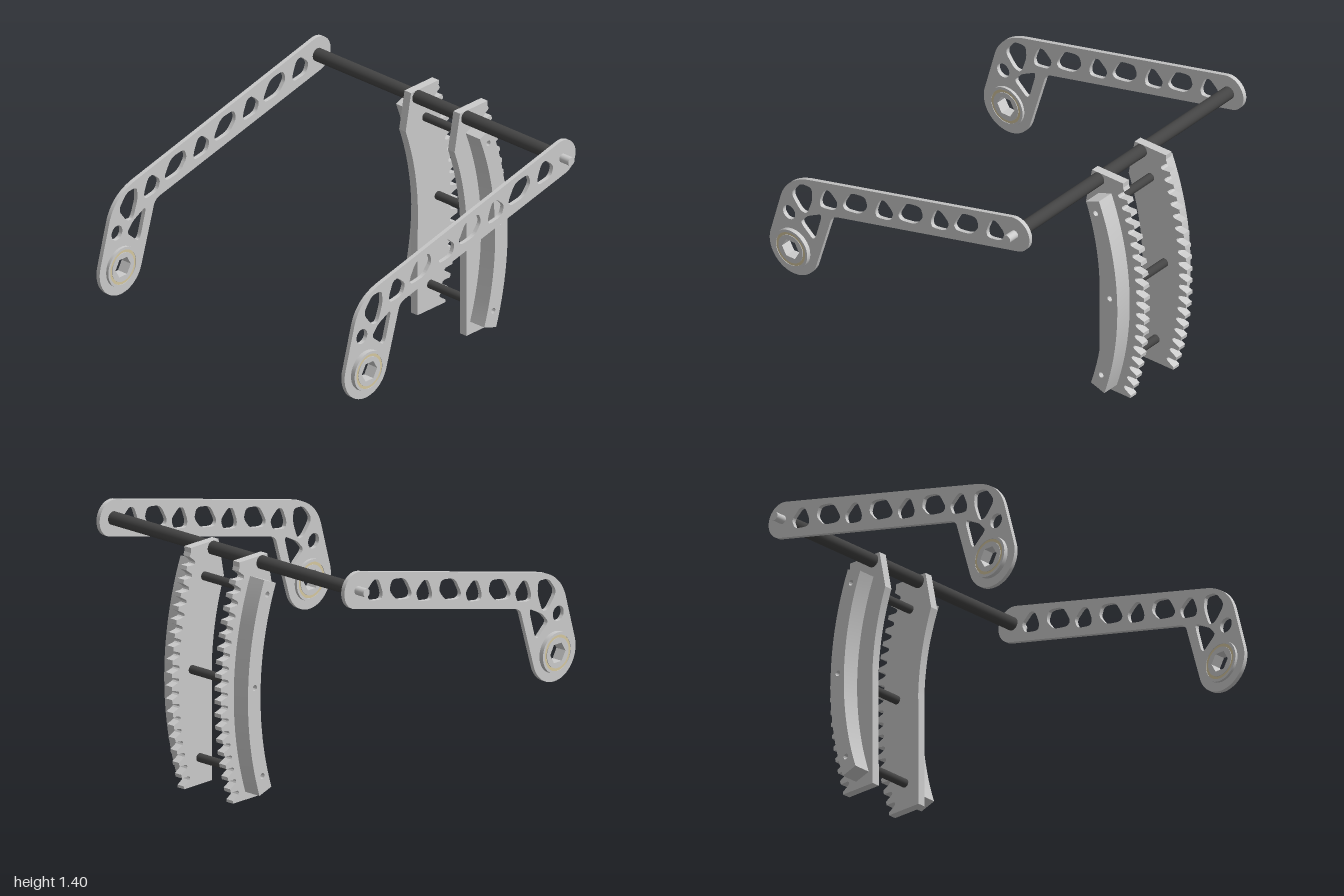
import * as THREE from 'three';
import { toCreasedNormals } from 'three/addons/utils/BufferGeometryUtils.js';

const GREY = new THREE.MeshStandardMaterial({ color: 0xcccccc });
const DARK = new THREE.MeshStandardMaterial({ color: 0x444444 });
const TAN = new THREE.MeshStandardMaterial({ color: 0xd6c8a0 });

// Side profiles are drawn in (z, y); the pivot is also the centre of the rack's arcs
const PZ = 0.835, PY = 0.595;
const SHAFT = [-0.687, 1.303];
const rad = THREE.MathUtils.degToRad;
const polar = (r, deg) => new THREE.Vector2(PZ - r * Math.cos(rad(deg)), PY + r * Math.sin(rad(deg)));
const arcPoints = (r, a, b, n = 24) =>
  Array.from({ length: n + 1 }, (_, i) => polar(r, a + (b - a) * i / n));

function mesh(name, geometry, material = GREY) {
  const m = new THREE.Mesh(geometry, material);
  m.name = name;
  return m;
}

// Extrude a (z, y) shape between two x positions
function plate(name, shape, x0, x1, material = GREY, crease = 0.5) {
  const g = new THREE.ExtrudeGeometry(shape, { depth: x1 - x0, bevelEnabled: false, curveSegments: 20 });
  g.rotateY(-Math.PI / 2).translate(x1, 0, 0);
  return mesh(name, toCreasedNormals(g, crease), material);
}

// Cylinder along x
function rod(name, r, x0, x1, z, y, material) {
  const g = new THREE.CylinderGeometry(r, r, x1 - x0, 32);
  g.rotateZ(Math.PI / 2).translate((x0 + x1) / 2, y, z);
  return mesh(name, g, material);
}

function circle(z, y, r) {
  return new THREE.Shape().absarc(z, y, r, 0, Math.PI * 2);
}

function hexagon(r) {
  return new THREE.Path(Array.from({ length: 6 }, (_, i) =>
    new THREE.Vector2(PZ + r * Math.cos(i * Math.PI / 3), PY + r * Math.sin(i * Math.PI / 3))));
}

// Closed polygon with softened corners
function softPolygon(points, cz = 0, cy = 0, t = 0.35) {
  const p = points.map(([z, y]) => new THREE.Vector2(z + cz, y + cy));
  const path = new THREE.Path();
  p.forEach((c, i) => {
    const a = c.clone().lerp(p[(i + p.length - 1) % p.length], t);
    const b = c.clone().lerp(p[(i + 1) % p.length], t);
    if (i) path.lineTo(a.x, a.y); else path.moveTo(a.x, a.y);
    path.quadraticCurveTo(c.x, c.y, b.x, b.y);
  });
  path.closePath();
  return path;
}

// Bent lever with lightening holes
function armShape() {
  const s = new THREE.Shape();
  s.absarc(PZ, PY, 0.165, rad(196.4), rad(376), false);
  s.lineTo(0.925, 0.885);
  s.quadraticCurveTo(0.884, 1.027, 0.716, 1.067);
  s.absarc(SHAFT[0], SHAFT[1], 0.102, rad(76.4), rad(256.8), false);
  s.lineTo(0.53, 0.908);
  s.quadraticCurveTo(0.574, 0.897, 0.582, 0.86);
  s.closePath();

  const wide = [[0.086, -0.043], [0.032, 0.054], [-0.07, 0.07], [-0.091, 0.011], [-0.038, -0.054], [0.064, -0.07]];
  const narrow = [[0.059, -0.027], [0.027, 0.054], [-0.01, 0.064], [-0.07, 0.01], [-0.048, -0.048], [0.048, -0.064]];
  for (let i = -1; i < 3; i++) {
    if (i >= 0) s.holes.push(softPolygon(wide, 0.415 - 0.383 * i, 1.045 + 0.094 * i));
    s.holes.push(softPolygon(narrow, 0.216 - 0.383 * i, 1.083 + 0.094 * i));
  }
  s.holes.push(
    softPolygon([[0.855, 0.933], [0.79, 1.018], [0.712, 1.022], [0.705, 0.949], [0.743, 0.842], [0.79, 0.848]]),
    softPolygon([[0.79, 0.775], [0.74, 0.832], [0.637, 0.885], [0.692, 0.69]], 0, 0, 0.25),
    circle(0.866, 0.804, 0.042),
    hexagon(0.059));
  return s;
}

// Curved toothed plate
function rackShape() {
  const ROOT = 1.78, TIP = 1.835, FIRST = -17.6, PITCH = 2.3, GAPS = 18;
  const pts = [new THREE.Vector2(-0.69, 0), ...arcPoints(1.528, 2, 20.3), new THREE.Vector2(-0.64, 1.34),
    new THREE.Vector2(-0.855, 1.34), polar(TIP, 23)];
  for (let i = GAPS - 1; i >= 0; i--) {
    const a = FIRST + i * PITCH;
    pts.push(polar(TIP, a + 0.8), polar(TIP - 0.022, a + 0.62), polar(ROOT + 0.008, a + 0.38), polar(ROOT, a + 0.15),
      polar(ROOT, a - 0.15), polar(ROOT + 0.008, a - 0.38), polar(TIP - 0.022, a - 0.62), polar(TIP, a - 0.8));
  }
  pts.push(new THREE.Vector2(-0.905, 0));
  return new THREE.Shape(pts);
}

// Curved rail with bolt holes
const BOLTS = [-15.3, 2.15, 19.6].map(a => polar(1.683, a));
function railShape() {
  const s = new THREE.Shape([...arcPoints(1.638, -18.5, 22), ...arcPoints(1.735, 22, -18.5)]);
  BOLTS.forEach(b => s.holes.push(circle(b.x, b.y, 0.016)));
  return s;
}

// Flat ring around the pivot
function ring(outer, inner) {
  const s = circle(PZ, PY, outer);
  s.holes.push(inner);
  return s;
}

export function createModel() {
  const model = new THREE.Group();
  model.name = 'rackAndLeverAssembly';

  for (const side of [1, -1]) {
    const label = side > 0 ? 'left' : 'right';
    // Place a plate on this side, given its inner and outer distance from the middle
    const add = (name, shape, a, b, material, crease) => model.add(
      plate(label + name, shape, side > 0 ? a : -b, side > 0 ? b : -a, material, crease));

    add('Arm', armShape(), 0.885, 0.909);
    add('HubOuterRing', ring(0.115, circle(PZ, PY, 0.1)), 0.869, 0.935);
    add('HubSeal', ring(0.1, circle(PZ, PY, 0.084)), 0.872, 0.932, TAN);
    add('HubInnerRing', ring(0.084, hexagon(0.059)), 0.869, 0.935);
    add('Rack', rackShape(), 0.155, 0.203, GREY, 0.3);
    add('Rail', railShape(), 0.203, 0.307);

    const pin = side > 0 ? [0.88, 0.975] : [-0.975, -0.88];
    model.add(rod(label + 'ShaftPin', 0.024, ...pin, ...SHAFT, GREY));
  }

  // Top shaft and the crossbars between the racks
  model.add(rod('topShaft', 0.037, -0.886, 0.886, ...SHAFT, DARK));
  BOLTS.forEach(b => model.add(rod('crossbar', 0.024, -0.206, 0.206, b.x, b.y, DARK)));
  return model;
}
